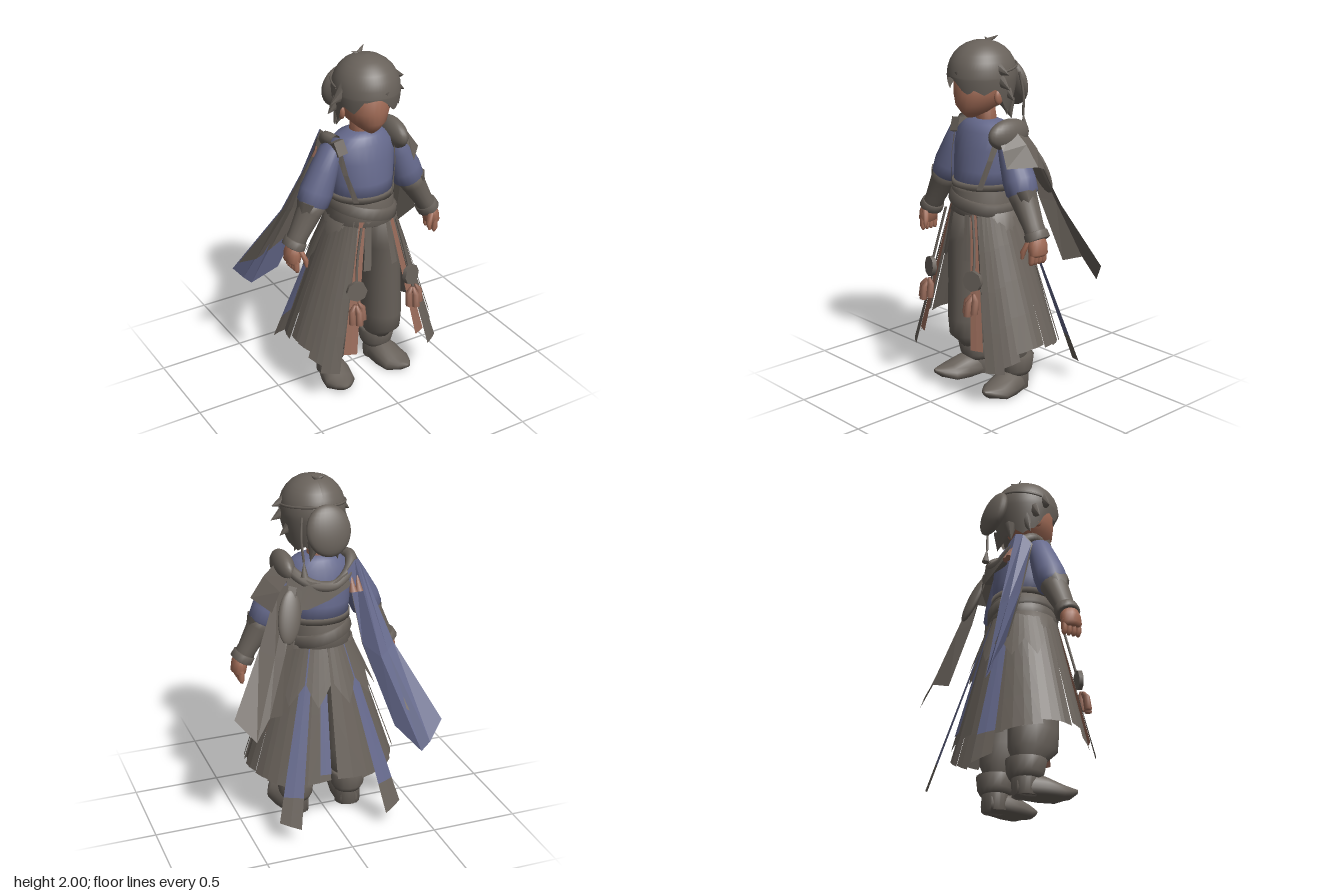
import * as THREE from 'three';

const flat = (name, color) => {
  const m = new THREE.MeshStandardMaterial({ color, side: THREE.DoubleSide });
  m.name = name;
  return m;
};
const TAU = Math.PI * 2, V = (p) => new THREE.Vector3(...p);
const { lerp, smoothstep } = THREE.MathUtils;

export function createModel() {
  const root = new THREE.Group();
  root.name = 'robedTraveller';
  const grey = flat('dark cloth', 0x69625b), blue = flat('blue cloth', 0x65698c);
  const skin = flat('skin', 0xa06b56), rust = flat('rust cloth', 0x976a59);

  const add = (name, geo, mat, parent = root) => {
    const m = new THREE.Mesh(geo, mat);
    m.name = name;
    parent.add(m);
    return m;
  };
  const group = (name, parent, x, y, z) => {
    const g = new THREE.Group();
    g.name = name;
    g.position.set(x, y, z);
    parent.add(g);
    return g;
  };
  const build = (pos, idx, faceted) => {
    let g = new THREE.BufferGeometry();
    g.setAttribute('position', new THREE.Float32BufferAttribute(pos, 3));
    g.setIndex(idx);
    if (faceted) g = g.toNonIndexed();
    g.computeVertexNormals();
    return g;
  };
  // Solid lofted through ellipses [y, rx, rz, cx, cz], listed from top to bottom
  const rings = (list, n = 20) => {
    const pos = [], idx = [];
    for (const [y, rx, rz, cx = 0, cz = 0] of list)
      for (let j = 0; j < n; j++) pos.push(cx + rx * Math.sin(j / n * TAU), y, cz + rz * Math.cos(j / n * TAU));
    const last = list.length - 1, c = list.length * n;
    for (const [y, , , cx = 0, cz = 0] of [list[0], list[last]]) pos.push(cx, y, cz);
    for (let j = 0; j < n; j++) {
      const k = (j + 1) % n;
      for (let i = 0; i < last; i++) {
        const a = i * n + j, b = i * n + k;
        idx.push(a, a + n, b, b, a + n, b + n);
      }
      idx.push(c, j, k, c + 1, last * n + k, last * n + j);
    }
    return build(pos, idx);
  };
  // Thin cloth through rows of points
  const sheet = (rows, faceted = true) => {
    const w = rows[0].length, idx = [];
    for (let i = 0; i < rows.length - 1; i++)
      for (let j = 0; j < w - 1; j++) {
        const a = i * w + j;
        idx.push(a, a + w, a + 1, a + 1, a + w, a + w + 1);
      }
    return build(rows.flat(2), idx, faceted);
  };
  // Pointed lock from p to q
  const lock = (name, p, q, r, mat = grey, squash = 0.7) => {
    const a = V(p), d = V(q).sub(a);
    const m = add(name, new THREE.ConeGeometry(r, d.length(), 8).scale(1, 1, squash), mat);
    m.position.copy(a).addScaledVector(d, 0.5);
    m.quaternion.setFromUnitVectors(new THREE.Vector3(0, 1, 0), d.normalize());
  };
  const ball = (name, p, s, mat) => {
    const m = add(name, new THREE.SphereGeometry(1, 24, 16), mat);
    m.position.set(...p);
    m.scale.set(...s);
    return m;
  };
  const tube = (name, pts, r, mat, segs = 24) =>
    add(name, new THREE.TubeGeometry(new THREE.CatmullRomCurve3(pts.map(V)), segs, r, 8), mat);

  // Head and neck
  add('face', rings([[1.84, 0.1, 0.12, 0, 0.11], [1.78, 0.13, 0.15, 0, 0.12], [1.7, 0.126, 0.152, 0, 0.122],
    [1.64, 0.102, 0.14, 0, 0.13], [1.595, 0.055, 0.09, 0, 0.15], [1.57, 0.02, 0.03, 0, 0.18]], 28), skin);
  add('neck', rings([[1.64, 0.05, 0.05, 0, 0.08], [1.5, 0.06, 0.06, 0, 0.07]]), skin);
  for (const s of [-1, 1]) ball('ear', [s * 0.132, 1.685, 0.105], [0.018, 0.042, 0.028], skin);

  // Hair cap: parted fringe, cut above the ears, long at the nape
  const hairRows = [], part = -0.25;
  for (let i = 0; i <= 14; i++) {
    const row = [];
    for (let j = 0; j <= 60; j++) {
      const a = (j / 60 - 0.5) * TAU, side = Math.abs(a);
      const low = 1.795 - 0.085 * smoothstep(Math.abs(a - part), 0.05, 0.75) - 0.12 * smoothstep(side, 1.35, 1.9)
        + 0.03 * Math.abs((j % 6) / 3 - 1) * smoothstep(side, 0.3, 0.7);
      let y, r;
      if (i <= 7) {
        const t = i / 7 * Math.PI / 2;
        y = 1.8 + 0.18 * Math.cos(t);
        r = Math.pow(Math.sin(t), 0.92);
      } else {
        y = lerp(1.8, low, (i - 7) / 7);
        r = 1 - 0.26 * Math.pow((1.8 - y) / 0.24, 1.5);
      }
      row.push([0.012 + 0.18 * r * Math.sin(a), y, 0.115 + 0.195 * r * Math.cos(a)]);
    }
    hairRows.push(row);
  }
  add('hairCap', sheet(hairRows, false), grey);
  const locks = [
    [[-0.1, 1.83, 0.14], [-0.215, 1.755, 0.14], 0.075], [[-0.1, 1.77, 0.08], [-0.2, 1.675, 0.08], 0.07],
    [[-0.1, 1.7, 0.04], [-0.145, 1.59, 0.05], 0.05], [[0.1, 1.86, 0.14], [0.24, 1.82, 0.13], 0.07],
    [[0.1, 1.82, 0.13], [0.245, 1.74, 0.13], 0.075], [[0.1, 1.76, 0.07], [0.215, 1.67, 0.07], 0.07],
    [[0.1, 1.68, 0.04], [0.14, 1.58, 0.05], 0.05], [[0.02, 1.83, 0.295], [0.05, 1.73, 0.295], 0.022],
    [[0.0, 1.965, 0.06], [0.05, 2.0, 0.03], 0.018], [[0.0, 1.965, 0.06], [-0.04, 1.985, 0.05], 0.014],
    [[-0.05, 1.64, -0.03], [-0.08, 1.54, -0.04], 0.05], [[0.05, 1.64, -0.03], [0.08, 1.54, -0.04], 0.05]];
  for (const [p, q, r] of locks) lock('hairLock', p, q, r);

  // Flared hair, headband round the back and hanging cord
  ball('flaredHair', [0, 1.73, -0.108], [0.125, 0.14, 0.05], grey).rotation.x = 0.25;
  const band = add('headband', new THREE.TorusGeometry(1, 0.03, 6, 40, Math.PI), grey);
  band.position.set(0.012, 1.83, 0.115);
  band.rotation.x = -Math.PI / 2 + 0.12;
  band.scale.set(0.18, 0.195, 0.25);
  tube('headCord', [[0.13, 1.8, -0.05], [0.14, 1.68, -0.07], [0.13, 1.56, -0.08]], 0.007, grey);
  lock('cordTassel', [0.13, 1.48, -0.09], [0.13, 1.57, -0.08], 0.022, grey, 1);

  // Tunic with border strips and shoulder strap
  add('tunic', rings([[1.55, 0.07, 0.06, 0, 0.08], [1.53, 0.13, 0.1, 0, 0.075], [1.49, 0.19, 0.125, 0, 0.075],
    [1.4, 0.195, 0.15, 0, 0.078], [1.28, 0.185, 0.165, 0, 0.08], [1.17, 0.175, 0.17, 0, 0.085]], 28), blue);
  for (const s of [-1, 1])
    add('tunicBorder', sheet([[[s * 0.19, 1.5, 0.12], [s * 0.165, 1.5, 0.155]],
      [[s * 0.165, 1.35, 0.178], [s * 0.145, 1.35, 0.2]], [[s * 0.125, 1.19, 0.218], [s * 0.1, 1.19, 0.238]]]), grey);
  add('tunicHem', rings([[1.215, 0.187, 0.177, 0, 0.084], [1.18, 0.187, 0.177, 0, 0.084]], 28), grey);
  const strap = add('shoulderStrap', new THREE.BoxGeometry(0.06, 0.08, 0.06), grey);
  strap.position.set(-0.165, 1.49, 0.13);
  strap.rotation.set(-0.4, 0, 0.15);

  // Sash wound round the waist
  add('sash', rings([[1.19, 0.16, 0.17, 0, 0.085], [1.17, 0.18, 0.188, 0, 0.085], [1.1, 0.178, 0.188, 0, 0.085],
    [1.05, 0.195, 0.198, 0, 0.085], [1.03, 0.17, 0.17, 0, 0.085]], 28), grey);
  const wrap = add('crossedSash', rings([[0.035, 0.17, 0.18], [0.03, 0.192, 0.2], [-0.03, 0.2, 0.205], [-0.035, 0.17, 0.18]], 28), grey);
  wrap.position.set(0.005, 1.11, 0.085);
  wrap.rotation.z = -0.24;

  // Scarf over one shoulder and across the back, with hood tail and shoulder flap
  tube('scarf', [[0.185, 1.44, 0.15], [0.195, 1.52, 0.09], [0.17, 1.48, -0.02],
    [0.08, 1.42, -0.075], [-0.05, 1.4, -0.075], [-0.14, 1.46, -0.045], [-0.18, 1.52, 0.03], [-0.165, 1.52, 0.1]], 0.033, grey, 48);
  ball('scarfRoll', [0.195, 1.49, 0.09], [0.057, 0.085, 0.14], grey);
  add('backScarf', sheet([
    [[-0.2, 1.52, -0.02], [-0.12, 1.47, -0.08], [-0.02, 1.42, -0.1], [0.1, 1.45, -0.1], [0.2, 1.5, -0.03]],
    [[-0.215, 1.45, -0.03], [-0.12, 1.39, -0.1], [0, 1.335, -0.115], [0.12, 1.3, -0.12], [0.25, 1.3, -0.07]]], false), grey);
  ball('hoodTail', [0.225, 1.27, -0.115], [0.065, 0.15, 0.025], grey).rotation.set(0.35, 0, 0.2);
  add('shoulderFlap', sheet([[[0.19, 1.5, 0.17], [0.22, 1.53, 0.08], [0.19, 1.48, -0.04]],
    [[0.25, 1.42, 0.185], [0.31, 1.45, 0.07], [0.26, 1.4, -0.06]],
    [[0.28, 1.33, 0.185], [0.39, 1.34, 0.06], [0.31, 1.29, -0.07]]]), grey);

  // Trailing capes behind each shoulder
  add('greyCape', sheet([
    [[0.12, 1.38, -0.09], [0.17, 1.42, -0.08], [0.21, 1.43, -0.06], [0.26, 1.42, -0.02]],
    [[0.21, 1.1, -0.13], [0.28, 1.08, -0.19], [0.33, 1.07, -0.17], [0.4, 1.1, -0.11]],
    [[0.31, 0.74, -0.22], [0.4, 0.77, -0.28], [0.485, 0.65, -0.31], [0.585, 0.77, -0.235]]]), grey);
  const blueCape = [
    [[-0.12, 1.48, -0.08], [-0.17, 1.53, -0.06], [-0.2, 1.52, -0.03], [-0.24, 1.45, 0]],
    [[-0.19, 1.06, -0.14], [-0.27, 1.0, -0.22], [-0.32, 1.02, -0.19], [-0.37, 1.05, -0.15]],
    [[-0.33, 0.6, -0.29], [-0.45, 0.47, -0.4], [-0.5, 0.52, -0.4], [-0.585, 0.63, -0.36]]];
  add('blueCape', sheet(blueCape), blue);
  const lining = blueCape.map((row) => row.map(([x, y, z]) => [x, y, z + 0.009]));
  lining[2] = lining[1].map((p, i) => p.map((v, k) => lerp(v, lining[2][i][k], 0.35 + 0.18 * i)));
  add('capeLining', sheet(lining), grey);
  for (const x of [-0.18, -0.145]) lock('backTassel', [x, 1.36, -0.105], [x, 1.46, -0.07], 0.024, rust, 1);

  // Skirt cone: point at an angle (degrees from the front) and height
  const onSkirt = (deg, y, out) => {
    const a = deg * Math.PI / 180, t = (1.1 - y) / 0.85;
    const o = 0.004 + out * t;
    return [(0.17 + 0.28 * t + o) * Math.sin(a), y, 0.09 - 0.04 * t + (0.18 + 0.15 * t + o) * Math.cos(a)];
  };
  const panel = (name, mat, s, a0, a1, y0, y1, out = 0, top = 1.08) => {
    const rows = [];
    for (let i = 0; i <= 4; i++)
      rows.push([0, 0.5, 1].map((u) =>
        onSkirt(s * lerp(a0, a1, u), lerp(top, lerp(y0, y1, u), i / 4), out)));
    add(name, sheet(rows), mat);
  };
  const panels = [[36, 50, 0.22, 0.22, 0.035], [48, 64, 0.24, 0.28, 0.01], [62, 78, 0.32, 0.34, 0.018], [76, 93, 0.33, 0.34, 0],
    [91, 109, 0.33, 0.33, 0.018], [107, 125, 0.31, 0.3, 0], [123, 142, 0.3, 0.28, 0.01], [140, 160, 0.28, 0.28, 0]];
  for (const s of [-1, 1]) {
    for (const [a0, a1, y0, y1, o] of panels) panel('skirtPanel', grey, s, a0, a1, y0, y1, o);
    panel('skirtPanel', grey, s, 157, s > 0 ? 174 : 181, 0.3, 0.32, 0.02);
    panel('frontStrip', rust, s, 25, 35, 0.33, 0.33, 0.035);
    panel('backStripe', blue, s, 142, 155, 0.26, 0.26, 0.08);
    panel('backStripeTip', grey, s, 142, 155, 0.12, 0.09, 0.08, 0.26);
    for (const [a0, a1] of [[95, 120], [120, 148], [150, 178]]) {
      panel('hipFlap', grey, s, a0, (a0 + a1) / 2, 0.86, 0.74, 0.1);
      panel('hipFlap', grey, s, (a0 + a1) / 2, a1, 0.74, 0.86, 0.1);
    }
    panel('waistTab', grey, s, 14, 23, 0.8, 0.8, 0.01);

    // Hanging ornament with cord and tassels
    tube('ornamentCord', [[s * 0.11, 1.06, 0.275], [s * 0.15, 0.88, 0.3], [s * 0.175, 0.72, 0.33]], 0.007, grey);
    const disc = add('ornamentDisc', new THREE.CylinderGeometry(0.058, 0.058, 0.025, 8), grey);
    disc.position.set(s * 0.175, 0.715, 0.335);
    disc.rotation.set(Math.PI / 2 - 0.1, 0, -s * 0.3);
    for (const [dx, dz, dy] of [[-0.032, 0, 0], [0, 0.02, -0.005], [0.032, 0, 0.01]])
      add('ornamentTassel', rings([[0.64 + dy, 0.008, 0.008, s * 0.185 + dx * 0.4, 0.35], [0.61 + dy, 0.019, 0.018, s * 0.185 + dx, 0.355 + dz],
        [0.535 + dy, 0.023, 0.02, s * 0.185 + dx, 0.365 + dz]], 8), rust);

    // Baggy trouser leg and boot
    add('trouserLeg', rings([[1.06, 0.12, 0.15, s * 0.08, 0.08], [0.88, 0.125, 0.15, s * 0.112, 0.08], [0.84, 0.112, 0.15, s * 0.12, 0.08],
      [0.6, 0.112, 0.14, s * 0.138, 0.07], [0.36, 0.116, 0.145, s * 0.153, 0.055], [0.26, 0.11, 0.14, s * 0.155, 0.05],
      [0.2, 0.08, 0.095, s * 0.155, 0.03], [0.16, 0.07, 0.08, s * 0.155, 0.02]]), grey);
    const boot = group('boot', root, s * 0.16, 0, 0);
    boot.rotation.y = s * 0.18;
    add('bootCuff', rings([[0.2, 0.085, 0.09], [0.195, 0.108, 0.112, 0, 0.005], [0.12, 0.096, 0.1], [0.09, 0.08, 0.085]], 16), grey, boot);
    add('bootShaft', rings([[0.16, 0.075, 0.08], [0, 0.075, 0.065, 0, -0.005]], 16), grey, boot);
    const foot = rings([[0.29, 0.012, 0.012, 0, -0.055], [0.25, 0.05, 0.03, 0, -0.04], [0.19, 0.088, 0.055, 0, -0.025],
      [0.1, 0.088, 0.085, 0, -0.03], [0, 0.072, 0.1, 0, -0.03], [-0.06, 0.05, 0.08, 0, -0.03]], 16).rotateX(Math.PI / 2);
    const fp = foot.attributes.position;
    for (let i = 0; i < fp.count; i++) fp.setY(i, Math.max(0, fp.getY(i)));
    foot.computeVertexNormals();
    add('foot', foot, grey, boot);

    // Arm: puffed sleeve, then a forearm bent outward with bracer and hand
    const arm = group('arm', root, s * 0.185, 1.475, 0.085);
    arm.rotation.set(-0.03, 0, s * 0.4);
    add('sleeve', rings([[0.03, 0.02, 0.03], [0, 0.055, 0.07], [-0.12, 0.075, 0.082], [-0.24, 0.092, 0.09], [-0.31, 0.088, 0.088], [-0.35, 0.05, 0.05]]), blue, arm);
    const forearm = group('forearm', arm, 0, -0.3, 0.005);
    forearm.rotation.z = s * 0.12;
    add('bracer', rings([[-0.01, 0.055, 0.06], [-0.015, 0.076, 0.08], [-0.06, 0.07, 0.074], [-0.2, 0.053, 0.06], [-0.27, 0.056, 0.062], [-0.28, 0.04, 0.05]], 16), grey, forearm);
    add('bracerCuff', rings([[-0.23, 0.05, 0.06], [-0.235, 0.063, 0.068], [-0.275, 0.065, 0.071], [-0.28, 0.05, 0.06]], 16), grey, forearm);
    const guard = add('elbowGuard', new THREE.ConeGeometry(0.075, 0.2, 6), grey, forearm);
    guard.position.set(s * 0.03, -0.11, 0.005);
    guard.rotation.set(Math.PI, 0, s * 0.15);
    guard.scale.x = 0.6;
    const hand = group('hand', forearm, s * 0.005, -0.27, 0.01);
    hand.rotation.z = -s * 0.35;
    add('palm', rings([[0.02, 0.035, 0.045], [-0.03, 0.045, 0.06], [-0.08, 0.042, 0.06], [-0.095, 0.022, 0.045]], 14), skin, hand);
    for (let f = 0; f < 4; f++)
      add('finger', rings([[-0.06, 0.019, 0.017, 0, 0.043 - f * 0.029], [-0.12, 0.018, 0.016, -s * 0.012, 0.043 - f * 0.029],
        [-0.138, 0.008, 0.008, -s * 0.018, 0.043 - f * 0.029]], 8), skin, hand);
    add('thumb', rings([[-0.01, 0.018, 0.018, -s * 0.02, 0.045], [-0.06, 0.017, 0.017, -s * 0.05, 0.06], [-0.1, 0.008, 0.008, -s * 0.058, 0.065]], 8), skin, hand);
  }
  // Narrow blue stripe beside the back vent
  panel('ventStripe', blue, 1, 166, 174, 0.36, 0.36, 0.035);
  return root;
}
